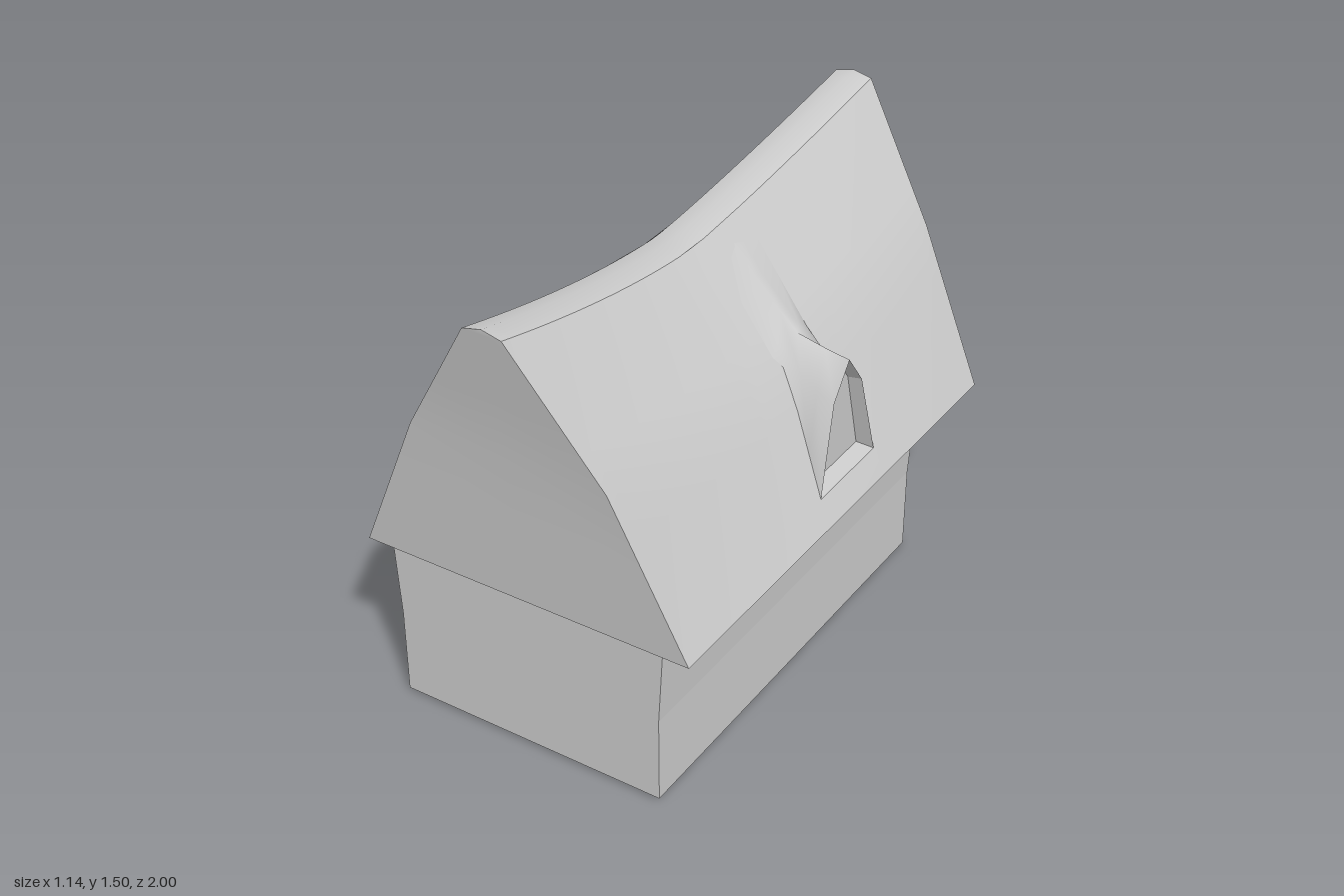
import * as THREE from 'three';

const material = new THREE.MeshStandardMaterial({ color: 0xcccccc });
const thinMaterial = new THREE.MeshStandardMaterial({ color: 0xcccccc, side: THREE.DoubleSide });
const V = (x, y, z) => new THREE.Vector3(x, y, z);

// Roof slope: height, half width, half length
const EAVE = 0.545, TOP = 1.49;
const STATIONS = [[EAVE, 0.57, 0.885], [1.06, 0.335, 0.925], [TOP, 0.065, 1]];
function station(h, k) {
  const [a, b] = h < 1.06 ? [STATIONS[0], STATIONS[1]] : [STATIONS[1], STATIONS[2]];
  return THREE.MathUtils.mapLinear(h, a[0], b[0], a[k], b[k]);
}

// Sway of the ridge along its length (f runs from -1 at the back to 1 at the front)
function sag(f) {
  const rise = f > 0.08 ? ((f - 0.08) / 0.92) ** 1.6 : ((0.08 - f) / 1.08) ** 1.25;
  return 0.14 * (1 - rise);
}
function roofPoint(side, h, z) {
  const f = THREE.MathUtils.clamp(z / station(h, 2), -1, 1);
  return V(side * station(h, 1), h - sag(f) * (h - EAVE) / (TOP - EAVE), z);
}

// Surface through a grid of points, with optional cells left out
function surface(grid, flip = false, skip = () => false) {
  const n = grid[0].length, index = [];
  for (let r = 0; r < grid.length - 1; r++) {
    for (let c = 0; c < n - 1; c++) {
      if (skip(r, c)) continue;
      const a = r * n + c, b = a + 1, d = a + n, e = d + 1;
      index.push(...(flip ? [a, d, b, b, d, e] : [a, b, d, b, e, d]));
    }
  }
  const geo = new THREE.BufferGeometry().setFromPoints(grid.flat());
  geo.setIndex(index);
  geo.computeVertexNormals();
  return geo;
}

function add(group, name, geo, mat = material) {
  const mesh = new THREE.Mesh(geo, mat);
  mesh.name = name;
  group.add(mesh);
  return mesh;
}

function prism(points, zBack, zFront) {
  const shape = new THREE.Shape(points.map(([x, y]) => new THREE.Vector2(x, y)));
  const geo = new THREE.ExtrudeGeometry(shape, { depth: zFront - zBack, bevelEnabled: false });
  return geo.translate(0, 0, zBack);
}

// Half width of the dormer where it meets the roof
const footWidth = (h) => 0.165 - 0.065 * THREE.MathUtils.clamp((h - 0.64) / 0.28, 0, 1);

// Roof slope with an opening for its dormer
function roofSlope(side, zc) {
  const heights = [EAVE, 0.64, 0.78, 0.92, 1.06, 1.17, 1.28, 1.39, TOP];
  const fractions = Array.from({ length: 41 }, (_, i) => -1 + i * 0.05);
  const before = fractions.filter((f) => f < zc - 0.21);
  const after = fractions.filter((f) => f > zc + 0.21);
  const grid = heights.map((h) => [
    ...before.map((f) => f * station(h, 2)),
    zc - footWidth(h), zc + footWidth(h),
    ...after.map((f) => f * station(h, 2)),
  ].map((z) => roofPoint(side, h, z)));
  const opening = before.length;
  return surface(grid, side > 0, (r, c) => c === opening && (r === 1 || r === 2));
}

function dormer(side, zc) {
  const group = new THREE.Group();
  const foot = (h, s) => roofPoint(side, h, zc + s * footWidth(h));
  const at = (x, y, dz) => V(side * x, y, zc + dz);
  const above = (h, dz, lift) => roofPoint(side, h, zc + dz).add(V(side * lift, lift * 0.5, 0));
  // One cross-section: foot, shoulder, apex, shoulder, foot
  const section = (h, shoulder, apex) =>
    [foot(h, -1), shoulder(-1), apex, shoulder(1), foot(h, 1)];
  const rows = [
    section(0.64, (s) => at(0.515, 0.92, s * 0.085), at(0.515, 1.03, 0)),
    section(0.78, (s) => at(0.455, 0.94, s * 0.083), at(0.43, 1.045, 0)),
    section(0.92, (s) => at(0.39, 0.98, s * 0.075), at(0.335, 1.067, 0)),
    section(1.1, (s) => above(1.13, s * 0.06, 0.012), above(1.2, 0, 0.025)),
    section(1.28, (s) => above(1.29, s * 0.04, 0.004), above(1.32, 0, 0.008)),
    section(1.4, (s) => above(1.41, s * 0.04, 0), above(1.43, 0, 0)),
  ];
  add(group, 'dormerRoof', surface(rows, side < 0), thinMaterial);

  // Recessed window behind the front edge
  const outer = rows[0];
  const inner = outer.map((p) =>
    V(side * 0.47, 0.65 + (p.y - 0.64) * 0.95, zc + (p.z - zc) * 0.93));
  const reveal = surface([[...outer, outer[0]], [...inner, inner[0]]], side > 0).toNonIndexed();
  reveal.computeVertexNormals();
  add(group, 'windowReveal', reveal, thinMaterial);
  const pane = surface([inner.slice(0, 3), [inner[4], inner[3], inner[2]]], side < 0);
  add(group, 'windowPane', pane, thinMaterial);
  return group;
}

export function createModel() {
  const model = new THREE.Group();

  // Walls, flaring slightly under the eaves
  add(model, 'walls', prism([
    [-0.465, 0.01], [0.465, 0.01], [0.465, 0.3], [0.48, 0.55], [-0.48, 0.55], [-0.465, 0.3],
  ], -0.63, 0.88));

  // Roof slopes and dormers
  for (const [side, zc, label] of [[1, -0.085, 'left'], [-1, 0.24, 'right']]) {
    add(model, label + 'RoofSlope', roofSlope(side, zc), thinMaterial);
    const d = dormer(side, zc);
    d.name = label + 'Dormer';
    model.add(d);
  }

  // Ridge cap
  const cap = [-0.065, 0, 0.065].map((x) => Array.from({ length: 41 }, (_, i) => {
    const f = -1 + i * 0.05;
    return V(x, (x ? TOP : TOP + 0.015) - sag(f), f);
  }));
  add(model, 'ridgeCap', surface(cap), thinMaterial);

  // Gable ends leaning outward toward the ridge
  for (const end of [1, -1]) {
    const rows = [EAVE, 0.8, 1.06, 1.28, TOP].map((h) =>
      [-1, 0, 1].map((s) => V(s * station(h, 1), h, end * station(h, 2))));
    rows.push([-1, 0, 1].map(() => V(0, TOP + 0.015, end)));
    add(model, end > 0 ? 'frontGable' : 'backGable', surface(rows, end < 0), thinMaterial);
  }

  // Underside of the eaves and porch
  const soffit = new THREE.PlaneGeometry(1.14, 1.77).rotateX(Math.PI / 2);
  add(model, 'soffit', soffit.translate(0, EAVE, 0), thinMaterial);

  // Porch posts, bent slightly outward at the top
  for (const s of [1, -1]) {
    const outline = [[0.24, 0], [0.305, 0], [0.305, 0.3], [0.318, 0.55], [0.253, 0.55], [0.24, 0.3]];
    add(model, s > 0 ? 'leftPost' : 'rightPost',
      prism(outline.map(([x, y]) => [s * x, y]), -0.85, -0.79));
  }
  return model;
}
